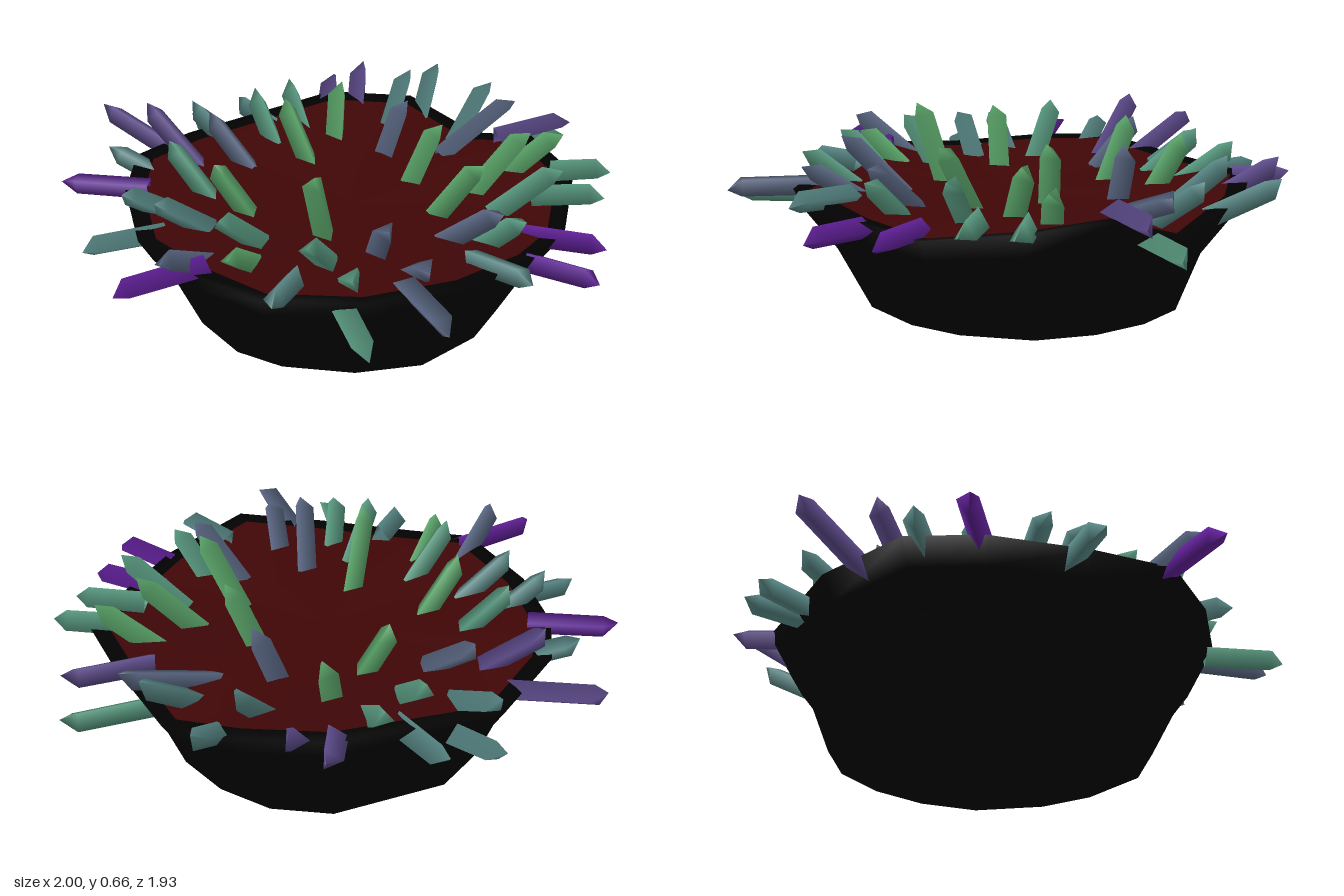
import * as THREE from 'three';

const mat = (name, color, opts = {}) => {
  const m = new THREE.MeshStandardMaterial({ color, ...opts });
  m.name = name;
  return m;
};

// Uneven rim of the bowl, counter-clockwise from the front: x, z, height
const RIM = [
  [0, 0.77, 0.44], [0.33, 0.65, 0.4], [0.55, 0.5, 0.37], [0.77, 0.22, 0.42], [0.78, -0.08, 0.44],
  [0.71, -0.36, 0.35], [0.57, -0.62, 0.43], [0.3, -0.78, 0.44], [-0.3, -0.78, 0.39], [-0.57, -0.61, 0.43],
  [-0.7, -0.38, 0.42], [-0.78, -0.05, 0.4], [-0.73, 0.27, 0.43], [-0.58, 0.47, 0.39], [-0.3, 0.66, 0.4],
];

// Skin a run of rings; each ring is [scale, share of rim height, added height, z shift, roundness]
function skin(rings) {
  const pos = [], index = [], n = RIM.length;
  for (const [s, share, add, dz, round] of rings)
    for (const [x, z, y] of RIM) {
      const k = s * THREE.MathUtils.lerp(1, 0.78 / Math.hypot(x, z), round);
      pos.push(x * k, y * share + add, z * k + dz);
    }
  for (let r = 0; r < rings.length - 1; r++)
    for (let i = 0; i < n; i++) {
      const a = r * n + i, b = r * n + (i + 1) % n;
      index.push(a, b, b + n, a, b + n, a + n);
    }
  const g = new THREE.BufferGeometry();
  g.setAttribute('position', new THREE.Float32BufferAttribute(pos, 3));
  g.setIndex(index);
  g.computeVertexNormals();
  return g;
}

// Crystals by colour: base x, base z, tip x, tip z, tip height
const CRYSTALS = {
  purple: [0x5f1f96, [
    [-0.62, -0.36, -0.87, -0.52, 0.43], [-0.66, 0.25, -0.99, 0.29, 0.43],
    [0.34, 0.61, 0.46, 0.83, 0.38], [0.42, 0.44, 0.61, 0.65, 0.38],
  ]],
  violet: [0x5c4a8a, [
    [-0.38, -0.65, -0.56, -0.95, 0.48], [0.27, -0.73, 0.36, -0.89, 0.44], [0.34, -0.63, 0.45, -0.81, 0.51],
    [-0.36, -0.49, -0.49, -0.68, 0.58], [0.65, -0.11, 0.95, -0.11, 0.45],
  ]],
  slate: [0x586580, [
    [-0.2, -0.41, -0.28, -0.6, 0.53], [-0.61, 0.16, -0.84, 0.31, 0.52], [-0.15, 0.64, -0.17, 0.95, 0.43],
    [-0.05, 0.5, -0.1, 0.7, 0.5], [-0.09, 0.35, -0.16, 0.54, 0.58], [0.15, 0.37, 0.25, 0.56, 0.55],
    [0.46, -0.19, 0.8, -0.26, 0.5], [0.28, -0.29, 0.36, -0.29, 0.58],
  ]],
  teal: [0x568583, [
    [-0.12, -0.78, -0.2, -0.96, 0.36], [0.03, -0.68, -0.01, -0.95, 0.39], [-0.18, -0.63, -0.25, -0.84, 0.47],
    [-0.5, -0.48, -0.66, -0.62, 0.47], [0.55, -0.5, 0.71, -0.68, 0.5], [0.38, -0.45, 0.53, -0.58, 0.55],
    [-0.57, -0.2, -0.77, -0.21, 0.5], [-0.66, -0.1, -0.95, -0.11, 0.38], [-0.51, -0.05, -0.71, -0.06, 0.52],
    [-0.43, 0.43, -0.58, 0.56, 0.43], [0.12, 0.59, 0.21, 0.82, 0.44], [0.57, -0.27, 0.77, -0.38, 0.53],
  ]],
  seaGreen: [0x58987f, [
    [-0.04, -0.54, -0.04, -0.74, 0.52], [0.11, -0.6, 0.13, -0.8, 0.5], [-0.42, -0.25, -0.53, -0.37, 0.57],
    [-0.4, 0.13, -0.59, 0.19, 0.55], [-0.26, 0.35, -0.41, 0.48, 0.55], [-0.34, 0.6, -0.4, 0.87, 0.36],
    [-0.25, 0.48, -0.34, 0.64, 0.5], [0.25, 0.45, 0.32, 0.59, 0.52], [0.54, 0.3, 0.75, 0.42, 0.43],
    [0.4, 0.28, 0.58, 0.4, 0.56], [0.69, 0.19, 0.87, 0.28, 0.44], [0.67, -0.21, 0.99, -0.21, 0.35],
  ]],
  green: [0x5aa469, [
    [0.17, -0.47, 0.23, -0.56, 0.57], [0.01, -0.36, -0.04, -0.47, 0.59], [-0.35, -0.09, -0.47, -0.12, 0.58],
    [-0.48, 0.24, -0.63, 0.35, 0.5], [-0.19, 0.17, -0.27, 0.235, 0.65], [0.22, 0.2, 0.31, 0.335, 0.61],
    [0.4, 0.13, 0.6, 0.16, 0.59], [0.57, 0.06, 0.76, 0.13, 0.54], [0.26, -0.05, 0.35, -0.02, 0.6],
  ]],
};

// Three-sided prism with its point set towards one edge, standing on its base
function crystalGeometry(length) {
  const profile = [[0.043, 0], [0.041, length - 0.05], [0, length]].map(p => new THREE.Vector2(...p));
  const g = new THREE.LatheGeometry(profile, 3);
  const p = g.attributes.position;
  for (let i = 0; i < p.count; i++) if (p.getY(i) > length - 0.001) p.setZ(i, 0.018);
  return g;
}

export function createModel() {
  const model = new THREE.Group();
  model.name = 'crystalBowl';
  const add = (parent, name, geometry, material) => {
    const mesh = new THREE.Mesh(geometry, material);
    mesh.name = name;
    parent.add(mesh);
    return mesh;
  };

  // Black shell: round underside, flared wall and uneven lip
  add(model, 'bowlShell', skin([
    [0, 0, 0, -0.045, 1], [0.71, 0, 0, -0.045, 0.6], [0.83, 0.5, 0, -0.02, 0.4],
    [0.94, 0.8, 0, 0, 0], [1, 1, 0, 0, 0], [0.92, 1, -0.005, 0, 0],
  ]), mat('black', 0x020202));

  // Shallow red inside
  add(model, 'bowlInside', skin([
    [0.92, 1, -0.005, 0, 0], [0.75, 0.4, 0.235, 0, 0], [0.4, 0.1, 0.345, 0, 0], [0, 0, 0.38, 0, 0],
  ]), mat('darkRed', 0x400607));

  // Crystals leaning outwards, those on the rim lying almost level
  const up = new THREE.Vector3(0, 1, 0);
  for (const [name, [color, list]] of Object.entries(CRYSTALS)) {
    const material = mat(name, color, { side: THREE.DoubleSide });
    const group = new THREE.Group();
    group.name = name + 'Crystals';
    model.add(group);
    for (const [bx, bz, tx, tz, ty] of list) {
      const base = new THREE.Vector3(bx, ty < 0.46 ? ty - 0.01 : 0.37, bz);
      const dir = new THREE.Vector3(tx, ty, tz).sub(base);
      const length = dir.length() + 0.01;
      const crystal = add(group, 'crystal', crystalGeometry(length), material);
      crystal.position.copy(base);
      crystal.quaternion.setFromUnitVectors(up, dir.normalize());
    }
  }
  return model;
}
